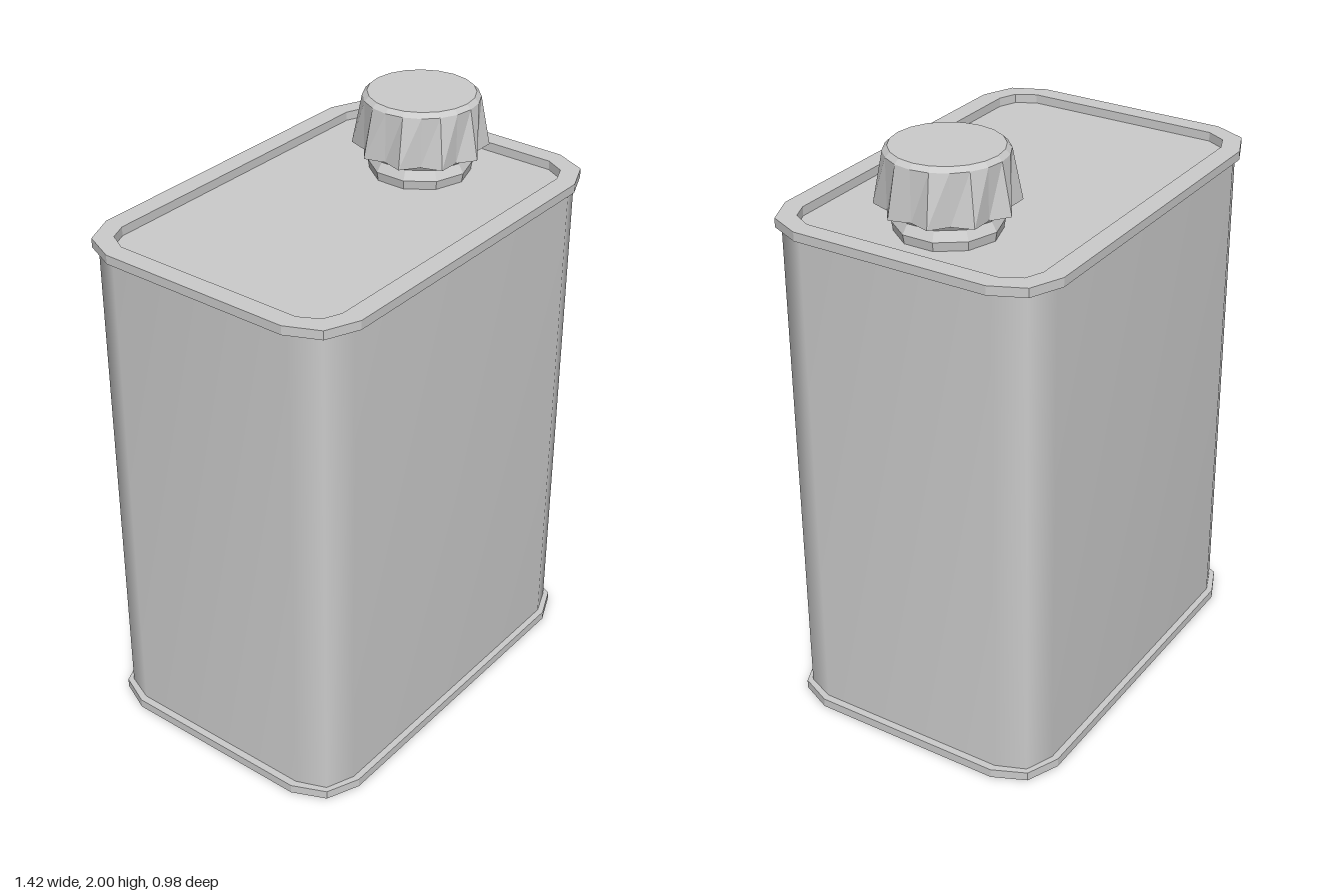
import * as THREE from 'three';

const material = new THREE.MeshStandardMaterial({ color: 0xcccccc });

// Chamfered rectangle from three points of its first quadrant, counterclockwise from above
function outline([a, b, c]) {
  const corner = [c, b, a];
  const out = [];
  for (const [sx, sy] of [[1, 1], [-1, 1], [-1, -1], [1, -1]]) {
    const pts = sx * sy > 0 ? corner : [...corner].reverse();
    for (const [x, y] of pts) out.push(new THREE.Vector2(sx * x, sy * y));
  }
  return out;
}

// Skin through closed rings of equal point count, listed from bottom to top
function loft(rings, flat) {
  const n = rings[0].length;
  const index = [];
  for (let r = 0; r < rings.length - 1; r++) {
    for (let i = 0; i < n; i++) {
      const j = (i + 1) % n;
      const a = r * n + i, b = r * n + j;
      index.push(a, b, b + n, a, b + n, a + n);
    }
  }
  let geometry = new THREE.BufferGeometry().setFromPoints(rings.flat());
  geometry.setIndex(index);
  if (flat) geometry = geometry.toNonIndexed();
  geometry.computeVertexNormals();
  return geometry;
}

const ringAt = (points, y) => points.map((p) => new THREE.Vector3(p.x, y, -p.y));

// Round or pointed ring, with alternate points on a second radius
function roundRing(y, n, tip, valley = tip) {
  return Array.from({ length: n }, (_, i) => {
    const a = Math.PI / 2 + (i / n) * Math.PI * 2;
    const r = i % 2 ? valley : tip;
    return new THREE.Vector3(r * Math.cos(a), y, -r * Math.sin(a));
  });
}

export function createModel() {
  const model = new THREE.Group();
  const add = (name, geometry, x = 0, y = 0) => {
    const mesh = new THREE.Mesh(geometry, material);
    mesh.name = name;
    mesh.position.set(x, y, 0);
    model.add(mesh);
    return mesh;
  };

  const bodyLine = outline([[0.55, 0.47], [0.645, 0.432], [0.685, 0.335]]);
  const rimLine = outline([[0.55, 0.492], [0.66, 0.445], [0.71, 0.335]]);
  const panelLine = outline([[0.55, 0.425], [0.61, 0.4], [0.645, 0.335]]);

  // Tin wall with softly shaded corners
  add('body', loft([ringAt(bodyLine, 0.02), ringAt(bodyLine, 1.74)], false));

  // Seam rims at both ends
  const rimShape = new THREE.Shape(rimLine);
  rimShape.holes.push(new THREE.Path(panelLine));
  const rim = new THREE.ExtrudeGeometry(rimShape, { depth: 0.03, bevelEnabled: false });
  rim.rotateX(-Math.PI / 2);
  add('bottomRim', rim);
  add('topRim', rim, 0, 1.73);

  // Recessed end panels
  const panel = new THREE.ShapeGeometry(new THREE.Shape(panelLine));
  add('topPanel', panel, 0, 1.73).rotation.x = -Math.PI / 2;
  add('bottomPanel', panel, 0, 0.03).rotation.x = Math.PI / 2;

  // Ten-sided neck with a waist
  const neck = [[1.73, 0.165], [1.76, 0.17], [1.79, 0.152], [1.82, 0.17]];
  add('neck', loft(neck.map(([y, r]) => roundRing(y, 10, r)), true), 0.395);

  // Fluted screw cap: ten-pointed skirt blending into a round, bevelled top
  add('cap', loft([
    roundRing(1.82, 20, 0),
    roundRing(1.82, 20, 0.222, 0.19),
    roundRing(1.985, 20, 0.19),
    roundRing(2, 20, 0.175),
    roundRing(2, 20, 0),
  ], true), 0.395);

  return model;
}
